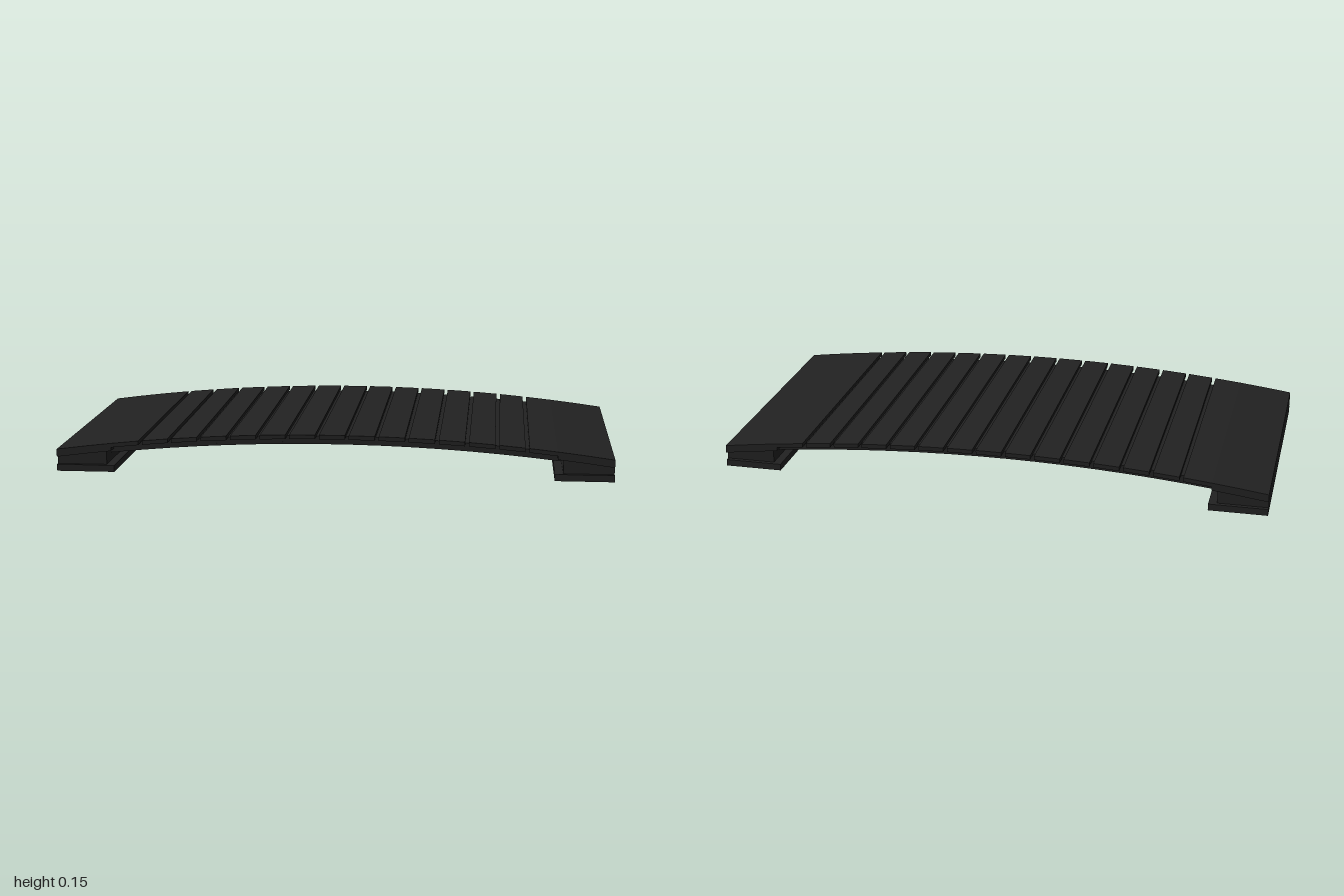
import * as THREE from 'three';

// Height of the arched walking surface at x
const arch = (x) => 0.15 - 0.07 * x * x;

// Slab that follows the arch from x0 to x1, lying between two depths below the walking surface
function archSlab(name, x0, x1, top, bottom, width, material, z = 0) {
  const steps = Math.max(1, Math.ceil((x1 - x0) / 0.11));
  const shape = new THREE.Shape();
  for (let i = 0; i <= steps; i++) {
    const x = x0 + ((x1 - x0) * i) / steps;
    if (i === 0) shape.moveTo(x, arch(x) - bottom);
    else shape.lineTo(x, arch(x) - bottom);
  }
  for (let i = steps; i >= 0; i--) {
    const x = x0 + ((x1 - x0) * i) / steps;
    shape.lineTo(x, arch(x) - top);
  }
  const geometry = new THREE.ExtrudeGeometry(shape, { depth: width, bevelEnabled: false });
  geometry.translate(0, 0, -width / 2);
  const mesh = new THREE.Mesh(geometry, material);
  mesh.name = name;
  mesh.position.z = z;
  return mesh;
}

function box(name, x0, x1, y0, y1, width, material) {
  const mesh = new THREE.Mesh(new THREE.BoxGeometry(x1 - x0, y1 - y0, width), material);
  mesh.name = name;
  mesh.position.set((x0 + x1) / 2, (y0 + y1) / 2, 0);
  return mesh;
}

export function createModel() {
  const model = new THREE.Group();
  model.name = 'archedFootbridge';
  const charcoal = new THREE.MeshStandardMaterial({ color: 0x222222 });
  charcoal.name = 'charcoal';

  // Cross planks with narrow gaps
  const planks = new THREE.Group();
  planks.name = 'planks';
  const count = 13;
  const pitch = 1.386 / count;
  const gap = 0.014;
  for (let i = 0; i < count; i++) {
    const x = -0.693 + i * pitch;
    planks.add(archSlab('plank', x + gap / 2, x + pitch - gap / 2, 0, 0.015, 1, charcoal));
  }
  model.add(planks);

  // Deck body under the planks, with two shallow lengthwise grooves below
  const deck = new THREE.Group();
  deck.name = 'deck';
  deck.add(archSlab('deckPlate', -0.82, 0.82, 0.012, 0.034, 0.91, charcoal));
  deck.add(archSlab('centreBeam', -0.81, 0.81, 0.034, 0.042, 0.44, charcoal));
  for (const side of [-1, 1]) {
    deck.add(archSlab('sideBeam', -0.81, 0.81, 0.034, 0.042, 0.215, charcoal, side * 0.3475));
  }
  model.add(deck);

  // Landing at each end: ramp, first plank, recessed web and foot
  for (const side of [-1, 1]) {
    const landing = new THREE.Group();
    landing.name = side < 0 ? 'rightLanding' : 'leftLanding';
    const span = (a, b) => (side < 0 ? [-b, -a] : [a, b]);
    landing.add(archSlab('endPlank', ...span(0.7, 0.8), 0, 0.015, 1, charcoal));
    landing.add(archSlab('ramp', ...span(0.8, 1), 0, 0.028, 1, charcoal));
    landing.add(box('web', ...span(0.82, 1), 0.02, 0.06, 0.97, charcoal));
    landing.add(archSlab('webTop', ...span(0.82, 0.99), 0.02, 0.05, 0.97, charcoal));
    landing.add(box('foot', ...span(0.79, 1), 0, 0.024, 1, charcoal));
    model.add(landing);
  }
  return model;
}
